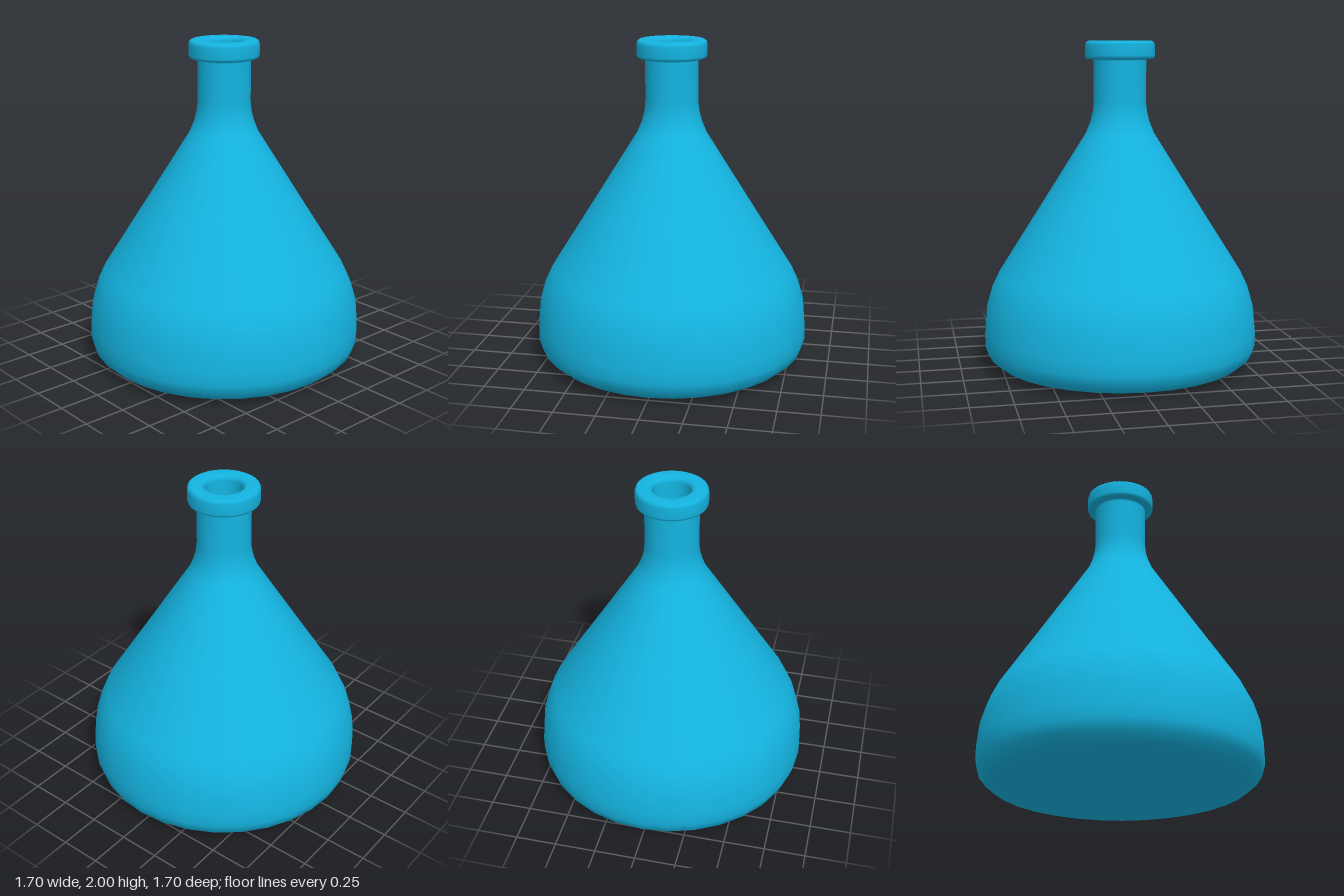
import * as THREE from 'three';

const SIDES = 32;

// Smooth solid of revolution from [radius, height] pairs, listed up the outside
function turned(name, profile, color) {
  const points = profile.map(([r, y]) => new THREE.Vector2(r, y));
  const mesh = new THREE.Mesh(
    new THREE.LatheGeometry(points, SIDES),
    new THREE.MeshStandardMaterial({ color })
  );
  mesh.name = name;
  return mesh;
}

export function createModel() {
  const group = new THREE.Group();
  group.name = 'flask';

  // Outside: slightly domed base, bulging belly, cone, neck
  const outside = [
    [0, 0], [0.4, 0.006], [0.71, 0.013], [0.775, 0.028], [0.828, 0.075],
    [0.848, 0.14], [0.848, 0.22], [0.835, 0.36], [0.8, 0.48], [0.755, 0.575],
    [0.48, 1.01], [0.21, 1.44], [0.182, 1.51], [0.167, 1.57], [0.161, 1.63], [0.161, 1.88],
  ];
  // Rounded lip round the mouth
  const lip = [
    [0.165, 1.89], [0.197, 1.89], [0.208, 1.896], [0.213, 1.91], [0.213, 1.975],
    [0.208, 1.992], [0.195, 2], [0.135, 2], [0.118, 1.992], [0.109, 1.97],
  ];
  // Inside wall, from the neck down to the floor
  const inside = [
    [0.108, 1.62], [0.12, 1.54], [0.16, 1.43], [0.43, 1.0], [0.705, 0.56],
    [0.75, 0.47], [0.785, 0.35], [0.798, 0.22], [0.798, 0.15], [0.78, 0.1],
    [0.74, 0.07], [0.69, 0.06], [0, 0.05],
  ];
  group.add(turned('glassFlask', [...outside, ...lip, ...inside], 0x14b4e1));

  // Liquid filling the belly, with a flat top (doubled rim points keep the edge sharp)
  group.add(turned('liquid', [
    [0, 0.055], [0.685, 0.065], [0.735, 0.075], [0.775, 0.105], [0.793, 0.15],
    [0.793, 0.22], [0.78, 0.35], [0.745, 0.47], [0.7, 0.56], [0.675, 0.6],
    [0.67, 0.6], [0, 0.6],
  ], 0x14dc14));

  return group;
}
